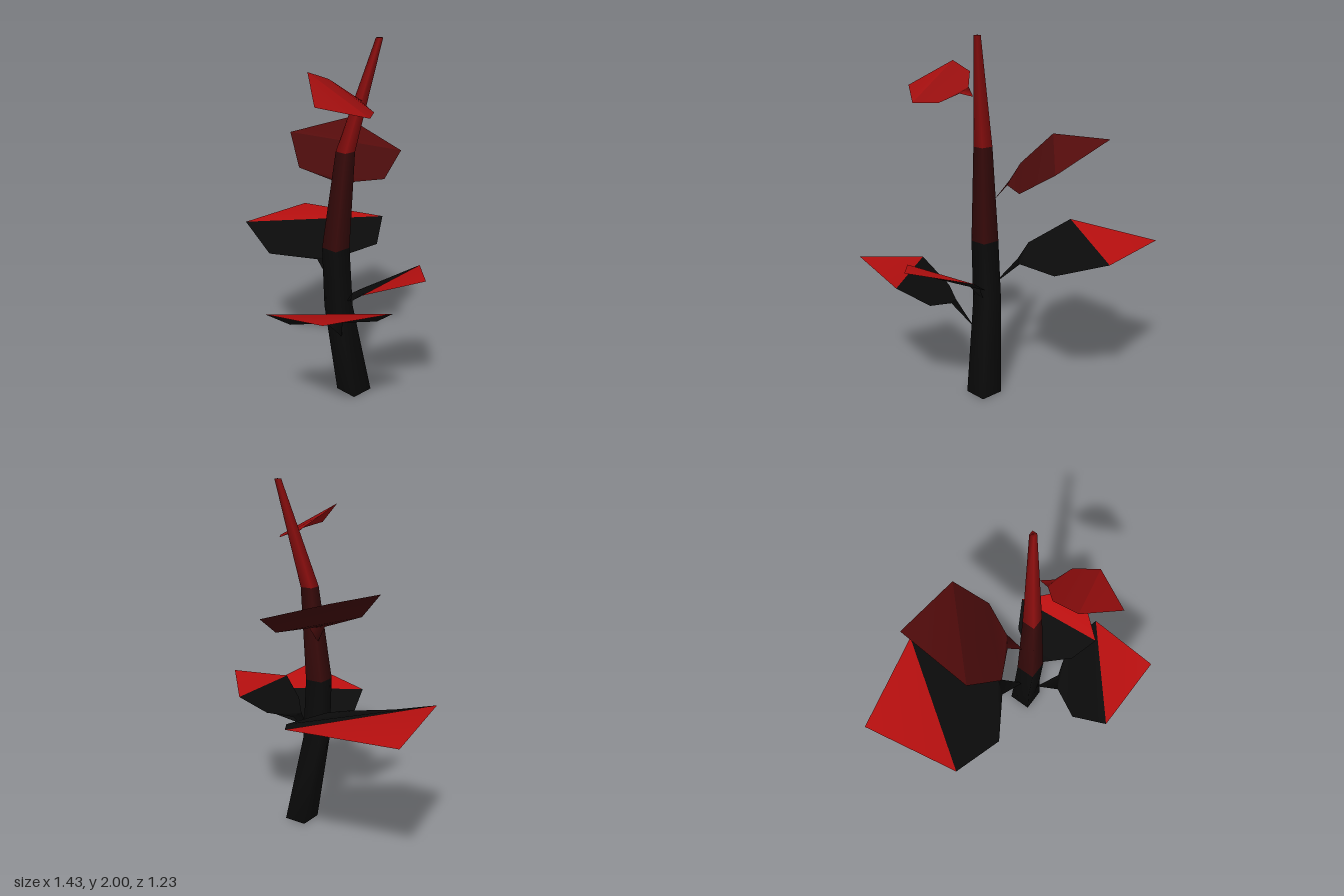
import * as THREE from 'three';

const BLACK = 0x0b0b0b, RED = 0xb80f0f;

// Indexed geometry with smooth normals; each part shares them but has its own colour
function addParts(parent, points, parts) {
  const base = new THREE.BufferGeometry();
  base.setAttribute('position', new THREE.Float32BufferAttribute(points.flat(), 3));
  base.setIndex(parts.flatMap((p) => p.index));
  base.computeVertexNormals();
  for (const { name, index, color } of parts) {
    const geometry = base.clone();
    geometry.setIndex(index);
    const material = new THREE.MeshStandardMaterial({ color, side: THREE.DoubleSide });
    const mesh = new THREE.Mesh(geometry, material);
    mesh.name = name;
    parent.add(mesh);
  }
}

// Crooked four-sided stem: [x, y, z, half width] per ring
function makeStem() {
  const rings = [
    [0.203, 0, -0.01, 0.068],
    [0.127, 0.52, 0.043, 0.056],
    [0.123, 0.87, 0.062, 0.053],
    [0.16, 1.41, 0.03, 0.036],
    [0.288, 2, -0.078, 0.013],
  ];
  const colors = [BLACK, BLACK, 0x380a0a, 0x8a0e0e];
  const corners = [[-1, -1], [-1, 1], [1, 1], [1, -1]];
  const points = rings.flatMap(([x, y, z, r]) => corners.map(([u, v]) => [x + u * r, y, z + v * r]));
  const parts = colors.map((color, i) => {
    const index = [];
    for (let k = 0; k < 4; k++) {
      const a = i * 4 + k, b = i * 4 + ((k + 1) % 4);
      index.push(a, b, b + 4, a, b + 4, a + 4);
    }
    return { name: `stemSection${i + 1}`, index, color };
  });
  // End caps
  const t = (rings.length - 1) * 4;
  parts[0].index.push(0, 2, 1, 0, 3, 2);
  parts[3].index.push(t, t + 1, t + 2, t, t + 2, t + 3);

  const stem = new THREE.Group();
  stem.name = 'stem';
  addParts(stem, points, parts);
  return stem;
}

// Leaf strip: root point, then left/right pairs at neck, shoulder and widest line, then tip
function makeLeaf({ name, points, colors }) {
  const leaf = new THREE.Group();
  leaf.name = name;
  const strip = (a) => [a, a + 1, a + 3, a, a + 3, a + 2];
  addParts(leaf, points, [
    { name: 'leafStalk', index: [0, 2, 1].reverse(), color: colors[0] },
    { name: 'leafBlade', index: [...strip(1), ...strip(3)], color: colors[0] },
    { name: 'leafTip', index: [5, 6, 7], color: colors[1] },
  ]);
  return leaf;
}

const LEAVES = [
  {
    name: 'lowerFrontLeaf', colors: [BLACK, RED],
    points: [[0.19, 0.36, 0.08], [0.21, 0.5, 0.22], [0.285, 0.51, 0.17],
      [0.115, 0.515, 0.395], [0.48, 0.565, 0.11],
      [0.155, 0.655, 0.595], [0.65, 0.69, 0.18], [0.59, 0.75, 0.61]],
  },
  {
    name: 'leftLeaf', colors: [BLACK, RED],
    points: [[0.16, 0.53, 0.03], [0.25, 0.64, 0.06], [0.245, 0.64, -0.03],
      [0.37, 0.67, 0.2], [0.325, 0.69, -0.17],
      [0.51, 0.77, 0.265], [0.465, 0.78, -0.245], [0.715, 0.835, 0.01]],
  },
  {
    name: 'rightLeaf', colors: [BLACK, RED],
    points: [[0.085, 0.605, 0.04], [-0.02, 0.73, -0.07], [-0.08, 0.73, 0.01],
      [0.025, 0.75, -0.38], [-0.32, 0.74, 0.165],
      [-0.145, 0.83, -0.615], [-0.62, 0.845, 0.095], [-0.72, 0.815, -0.485]],
  },
  {
    name: 'upperBackLeaf', colors: [0x480b0b, 0x550c0c],
    points: [[0.1, 1.1, 0.02], [0.085, 1.205, -0.08], [0.02, 1.21, -0.025],
      [0.175, 1.205, -0.265], [-0.16, 1.27, 0.07],
      [0.12, 1.325, -0.465], [-0.33, 1.43, -0.02], [-0.305, 1.455, -0.46]],
  },
  {
    name: 'topFrontLeaf', colors: [0x950e0e, 0xa00e0e],
    points: [[0.25, 1.685, 0], [0.225, 1.73, 0.065], [0.29, 1.7, 0.06],
      [0.15, 1.8, 0.14], [0.41, 1.66, 0.085],
      [0.147, 1.85, 0.285], [0.49, 1.657, 0.2], [0.345, 1.72, 0.425]],
  },
];

export function createModel() {
  const model = new THREE.Group();
  model.name = 'leafyPlant';
  model.add(makeStem(), ...LEAVES.map(makeLeaf));
  return model;
}
